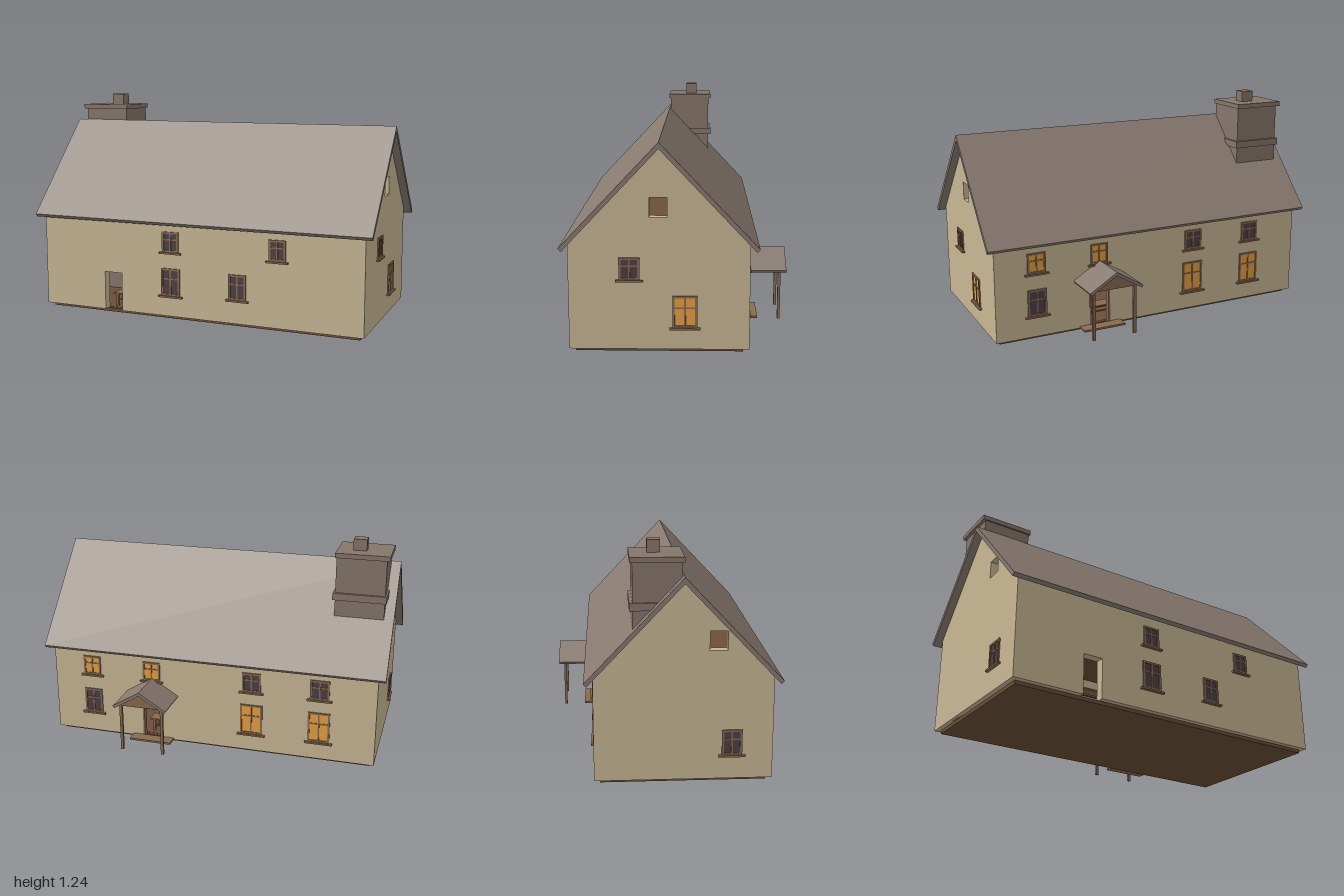
import * as THREE from 'three';

const mat = (color) => new THREE.MeshStandardMaterial({ color });
const wallMat = mat(0xc8b794), roofMat = mat(0x887a70), stoneMat = mat(0x86766a);
const timberMat = mat(0x8a6a50), floorMat = mat(0x6b4e38), darkGlass = mat(0x4a4046), litGlass = mat(0xe6a042);

const T = 0.05;                 // wall thickness
const X = 0.957;                // half length of the house
const FRONT = 0.55, BACK = -0.365, BASE = 0.02;

function add(parent, name, geometry, material) {
  const mesh = new THREE.Mesh(geometry, material);
  mesh.name = name;
  parent.add(mesh);
  return mesh;
}

// Box given by its min and max on each axis
function box(parent, name, material, x0, x1, y0, y1, z0, z1) {
  const mesh = add(parent, name, new THREE.BoxGeometry(x1 - x0, y1 - y0, z1 - z0), material);
  mesh.position.set((x0 + x1) / 2, (y0 + y1) / 2, (z0 + z1) / 2);
  return mesh;
}

// Extruded outline with an optional rectangular hole [x0, x1, y0, y1]
function slab(points, depth, hole) {
  const shape = new THREE.Shape(points.map(([x, y]) => new THREE.Vector2(x, y)));
  if (hole) {
    const [a, b, c, d] = hole;
    shape.holes.push(new THREE.Path([[a, c], [a, d], [b, d], [b, c]].map(([x, y]) => new THREE.Vector2(x, y))));
  }
  return new THREE.ExtrudeGeometry(shape, { depth, bevelEnabled: false });
}

// Window in the xy plane facing +z, centred on its frame, with four panes and a sill
function makeWindow(w, h, lit) {
  const g = new THREE.Group();
  g.name = 'window';
  const f = 0.011, x = w / 2, y = h / 2, p = 0.007, bar = 0.004, mid = 0.12 * h;
  box(g, 'glass', lit ? litGlass : darkGlass, -x + f, x - f, -y + f, y - f, -0.01, 0.002);
  for (const s of [-1, 1]) {
    box(g, 'frameSide', timberMat, s * (x - f / 2) - f / 2, s * (x - f / 2) + f / 2, -y, y, -0.01, p);
    box(g, 'frameRail', timberMat, -x + f, x - f, s * (y - f / 2) - f / 2, s * (y - f / 2) + f / 2, -0.01, p);
  }
  box(g, 'mullion', timberMat, -bar, bar, -y + f, y - f, -0.01, p - 0.001);
  box(g, 'transom', timberMat, -x + f, x - f, mid - bar, mid + bar, -0.01, p - 0.002);
  box(g, 'sill', timberMat, -x - 0.016, x + 0.016, -y - 0.01, -y, -0.01, 0.016);
  return g;
}

// Low bench of slim timbers
function makeBench(parent, x0, x1, z0, z1) {
  const g = new THREE.Group();
  g.name = 'bench';
  box(g, 'benchTop', timberMat, x0, x1, 0.09, 0.098, z0, z1);
  for (const z of [z0 + 0.01, z1 - 0.01]) {
    box(g, 'benchRail', timberMat, x0 + 0.02, x1 - 0.02, 0.058, 0.066, z - 0.004, z + 0.004);
    for (const x of [x0 + 0.025, x1 - 0.025])
      box(g, 'benchLeg', timberMat, x - 0.008, x + 0.008, BASE, 0.09, z - 0.008, z + 0.008);
  }
  parent.add(g);
}

export function createModel() {
  const house = new THREE.Group();
  house.name = 'house';

  // Plinth, ground floor and attic floor
  box(house, 'plinth', floorMat, -0.93, 0.93, 0, BASE, -0.335, 0.52);
  box(house, 'groundFloor', floorMat, -X + T, X - T, 0.012, 0.0215, BACK + T, FRONT - T);
  box(house, 'atticFloor', floorMat, -X + T, X - T, 0.53, 0.54, BACK + T, FRONT - T);

  // Long walls, each with an open doorway notched into the foot
  const longWall = (a, b) => slab([[-X + T, BASE], [a, BASE], [a, 0.24], [b, 0.24], [b, BASE],
    [X - T, BASE], [X - T, 0.56], [-X + T, 0.56]], T);
  add(house, 'frontWall', longWall(-0.565, -0.455), wallMat).position.z = FRONT - T;
  add(house, 'backWall', longWall(0.285, 0.41), wallMat).position.z = BACK;

  // Gable walls with a small attic opening
  const gable = [[BACK, BASE], [FRONT, BASE], [FRONT, 0.562], [0.09, 1.05], [BACK, 0.567]];
  for (const [name, x, z] of [['leftGable', X, 0.095], ['rightGable', -X + T, 0.265]]) {
    const geo = slab(gable, T, [z - 0.045, z + 0.045, 0.705, 0.805]).rotateY(-Math.PI / 2);
    add(house, name, geo, wallMat).position.x = x;
  }

  // Main roof, a folded slab along x
  const roof = slab([[0.59, 0.555], [0.09, 1.085], [-0.41, 0.555], [-0.395, 0.538], [0.09, 1.052], [0.575, 0.538]], 2);
  add(house, 'roof', roof.rotateY(-Math.PI / 2), roofMat).position.x = 1;

  // Chimney
  const chimney = new THREE.Group();
  chimney.name = 'chimney';
  box(chimney, 'chimneyStack', stoneMat, -0.945, -0.67, BASE, 1.15, -0.165, 0.083);
  box(chimney, 'chimneyBand', stoneMat, -0.955, -0.657, 0.91, 0.95, -0.18, 0.09);
  box(chimney, 'chimneyCap', stoneMat, -0.962, -0.662, 1.15, 1.177, -0.178, 0.092);
  box(chimney, 'chimneyPot', stoneMat, -0.823, -0.748, 1.177, 1.24, -0.087, -0.02);
  house.add(chimney);

  // Windows per wall: [position along wall, bottom, top, width, lit]
  const walls = {
    front: [[-0.145, 0.385, 0.5, 0.1, 0], [0.483, 0.385, 0.5, 0.095, 0],
      [-0.145, 0.138, 0.293, 0.115, 0], [0.255, 0.153, 0.293, 0.1, 0]],
    back: [[0.72, 0.385, 0.5, 0.105, 1], [0.35, 0.385, 0.5, 0.105, 1], [-0.25, 0.385, 0.5, 0.11, 0],
      [-0.64, 0.385, 0.5, 0.11, 0], [0.72, 0.143, 0.293, 0.11, 0],
      [-0.25, 0.125, 0.305, 0.13, 1], [-0.64, 0.125, 0.305, 0.125, 1]],
    left: [[0.242, 0.385, 0.5, 0.105, 0], [-0.038, 0.135, 0.302, 0.125, 1]],
    right: [[0.34, 0.15, 0.285, 0.105, 0]],
  };
  const place = {
    front: (g, u) => { g.position.x = u; g.position.z = FRONT; },
    back: (g, u) => { g.position.x = u; g.position.z = BACK; g.rotation.y = Math.PI; },
    left: (g, u) => { g.position.x = X; g.position.z = u; g.rotation.y = Math.PI / 2; },
    right: (g, u) => { g.position.x = -X; g.position.z = u; g.rotation.y = -Math.PI / 2; },
  };
  for (const side in walls) {
    for (const [u, y0, y1, w, lit] of walls[side]) {
      const win = makeWindow(w, y1 - y0, lit);
      win.position.y = (y0 + y1) / 2;
      place[side](win, u);
      win.name = side + 'Window';
      house.add(win);
    }
  }

  // Back porch: folded roof, gable infill, posts, step and door frame
  const porch = new THREE.Group();
  porch.name = 'porch';
  const C = 0.347;
  const porchRoof = slab([[C - 0.158, 0.305], [C - 0.15, 0.291], [C, 0.382], [C + 0.15, 0.291], [C + 0.158, 0.305], [C, 0.402]], 0.225);
  add(porch, 'porchRoof', porchRoof, roofMat).position.z = -0.59;
  const infill = slab([[C - 0.135, 0.3], [C + 0.135, 0.3], [C, 0.383]], 0.012);
  add(porch, 'porchGable', infill, timberMat).position.z = -0.565;
  for (const x of [C - 0.122, C + 0.122])
    box(porch, 'porchPost', timberMat, x - 0.008, x + 0.008, BASE, 0.308, -0.56, -0.545);
  box(porch, 'doorStep', timberMat, 0.222, 0.472, BASE, 0.031, -0.435, BACK);
  for (const x of [0.285, 0.4])
    box(porch, 'doorJamb', timberMat, x, x + 0.01, BASE, 0.24, BACK - 0.004, BACK + 0.03);
  box(porch, 'doorHead', timberMat, 0.285, 0.41, 0.23, 0.242, BACK - 0.004, BACK + 0.03);
  house.add(porch);

  // Benches just inside the doorways
  makeBench(house, -0.56, -0.3, 0.38, 0.47);
  makeBench(house, 0.2, 0.4, -0.28, -0.2);

  return house;
}
